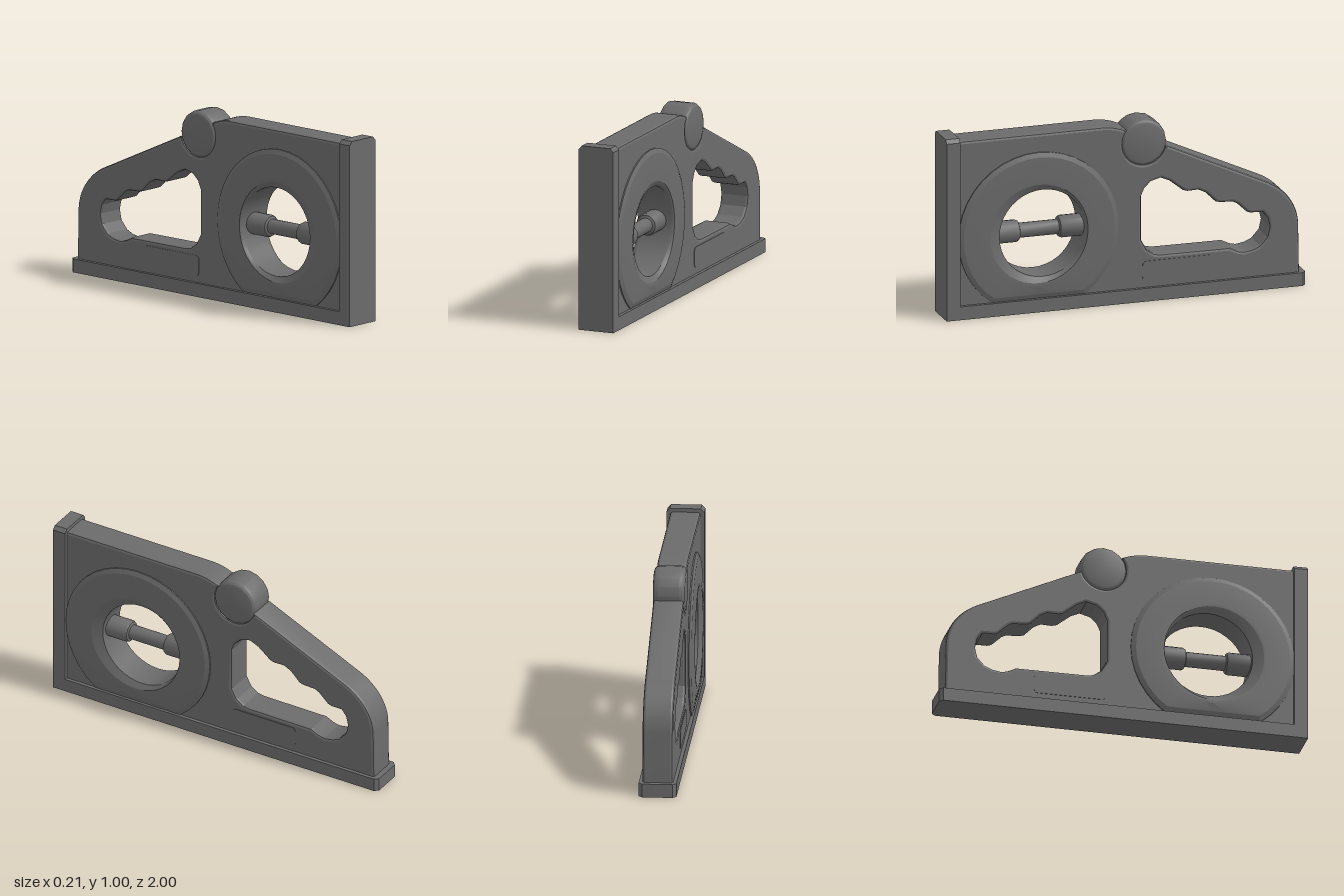
import * as THREE from 'three';
import { toCreasedNormals } from 'three/addons/utils/BufferGeometryUtils.js';

const material = new THREE.MeshStandardMaterial({ color: 0x6b6b6b });
const V = (x, y) => new THREE.Vector2(x, y);

function add(group, name, geometry) {
  const mesh = new THREE.Mesh(geometry, material);
  mesh.name = name;
  group.add(mesh);
}

// Side profile in (z, y), extruded symmetrically across x
function slab(shape, halfWidth, bevel) {
  const geo = new THREE.ExtrudeGeometry(shape, {
    depth: 2 * (halfWidth - bevel), bevelEnabled: bevel > 0, bevelThickness: bevel,
    bevelSize: bevel, bevelOffset: -bevel, bevelSegments: 2, curveSegments: 16,
  });
  geo.translate(0, 0, bevel - halfWidth).rotateY(-Math.PI / 2);
  return toCreasedNormals(geo, 0.36);
}

// Lofts circles [centreZ, centreY, radius, x, lowest y] into a surface
function loftCircles(rows, sides) {
  const pos = [], index = [];
  rows.forEach(([cz, cy, r, x, floor], i) => {
    for (let j = 0; j < sides; j++) {
      const t = (j / sides) * Math.PI * 2;
      pos.push(x, Math.max(floor, cy + r * Math.sin(t)), cz + r * Math.cos(t));
      if (i === rows.length - 1) continue;
      const a = i * sides + j, b = i * sides + (j + 1) % sides;
      index.push(a, a + sides, b + sides, a, b + sides, b);
    }
  });
  const geo = new THREE.BufferGeometry();
  geo.setAttribute('position', new THREE.Float32BufferAttribute(pos, 3));
  geo.setIndex(index);
  return toCreasedNormals(geo, 0.22);
}

function roundedRect(z0, y0, z1, y1, r) {
  const s = new THREE.Shape();
  s.moveTo(z0 + r, y0).lineTo(z1 - r, y0).quadraticCurveTo(z1, y0, z1, y0 + r);
  s.lineTo(z1, y1 - r).quadraticCurveTo(z1, y1, z1 - r, y1);
  s.lineTo(z0 + r, y1).quadraticCurveTo(z0, y1, z0, y1 - r);
  s.lineTo(z0, y0 + r).quadraticCurveTo(z0, y0, z0 + r, y0);
  return s;
}

export function createModel() {
  const model = new THREE.Group();
  model.name = 'spiritLevel';

  // Body with a socket for the knob, a round window and a finger-grip opening
  const body = new THREE.Shape();
  body.moveTo(0.96, 0.03).lineTo(0.96, 0.98).lineTo(0.12, 0.98);
  body.quadraticCurveTo(0.06, 0.978, 0, 0.952);
  body.absarc(-0.105, 0.872, 0.12, 0.68, -2.95, true);
  body.lineTo(-0.79, 0.588);
  body.bezierCurveTo(-0.89, 0.54, -0.96, 0.45, -0.965, 0.34);
  body.lineTo(-0.97, 0.03);
  const grip = [
    [-0.09, 0.575], [-0.11, 0.62], [-0.145, 0.652], [-0.2, 0.667], [-0.25, 0.645],
    [-0.325, 0.585], [-0.35, 0.578], [-0.41, 0.58], [-0.45, 0.56], [-0.505, 0.505],
    [-0.53, 0.498], [-0.6, 0.495], [-0.625, 0.482], [-0.68, 0.43], [-0.7, 0.423],
    [-0.765, 0.422], [-0.79, 0.39], [-0.802, 0.34], [-0.79, 0.285], [-0.75, 0.24],
    [-0.71, 0.222], [-0.66, 0.214], [-0.625, 0.222], [-0.58, 0.244], [-0.2, 0.246],
    [-0.16, 0.252], [-0.12, 0.28], [-0.09, 0.335],
  ];
  body.holes.push(new THREE.Path(grip.map(([z, y]) => V(z, y))));
  body.holes.push(new THREE.Path().absarc(0.485, 0.435, 0.3, 0, Math.PI * 2, true));
  add(model, 'body', slab(body, 0.081, 0.015));

  // Base rail, chamfered at its rear corners
  const rail = new THREE.Shape([
    V(-0.1, -1), V(0.1, -1), V(0.1, 0.98), V(0.08, 1), V(-0.08, 1), V(-0.1, 0.98),
  ]);
  add(model, 'baseRail', new THREE.ExtrudeGeometry(rail, { depth: 0.073, bevelEnabled: false })
    .rotateX(-Math.PI / 2));

  // Upright front plate, chamfered at its top corners
  const plate = new THREE.Shape([
    V(-0.1, 0), V(0.1, 0), V(0.1, 0.98), V(0.082, 1), V(-0.082, 1), V(-0.1, 0.98),
  ]);
  add(model, 'frontPlate', new THREE.ExtrudeGeometry(plate, { depth: 0.075, bevelEnabled: false })
    .translate(0, 0, 0.925));

  // Domed ring on both faces, joined by the bore of the window
  const half = [
    [0.485, 0.435, 0.445, 0.07, 0.075],
    [0.485, 0.435, 0.445, 0.088, 0.075],
    [0.485, 0.435, 0.42, 0.099, 0.1],
    [0.485, 0.435, 0.29, 0.107, 0],
    [0.488, 0.435, 0.272, 0.106, 0],
    [0.478, 0.433, 0.258, 0.098, 0],
    [0.462, 0.432, 0.24, 0.085, 0],
  ];
  const mirrored = [...half].reverse().map(([z, y, r, x, f]) => [z, y, r, -x, f]);
  add(model, 'windowRing', loftCircles([...half, ...mirrored], 40));

  // Vial with thicker end caps, lying along z across the window
  const vial = [
    [0, -0.27], [0.06, -0.27], [0.06, -0.125], [0.054, -0.113], [0.04, -0.108],
    [0.04, 0.108], [0.054, 0.113], [0.06, 0.125], [0.06, 0.27], [0, 0.27],
  ].map(([r, h]) => V(r, h));
  add(model, 'vial', toCreasedNormals(
    new THREE.LatheGeometry(vial, 16).rotateX(Math.PI / 2).translate(0, 0.432, 0.462), 0.6));

  // Round knob set into the top edge
  const knob = [
    [0, -0.085], [0.1, -0.085], [0.114, -0.081], [0.123, -0.072], [0.128, -0.055],
    [0.128, 0.055], [0.123, 0.072], [0.114, 0.081], [0.1, 0.085], [0, 0.085],
  ].map(([r, h]) => V(r, h));
  add(model, 'knob', toCreasedNormals(
    new THREE.LatheGeometry(knob, 16).rotateZ(-Math.PI / 2).translate(0, 0.872, -0.105), 0.42));

  // Thin label panel under the grip, showing on both faces
  add(model, 'labelPanel', slab(roundedRect(-0.485, 0.108, -0.095, 0.218, 0.025), 0.084, 0));

  return model;
}
